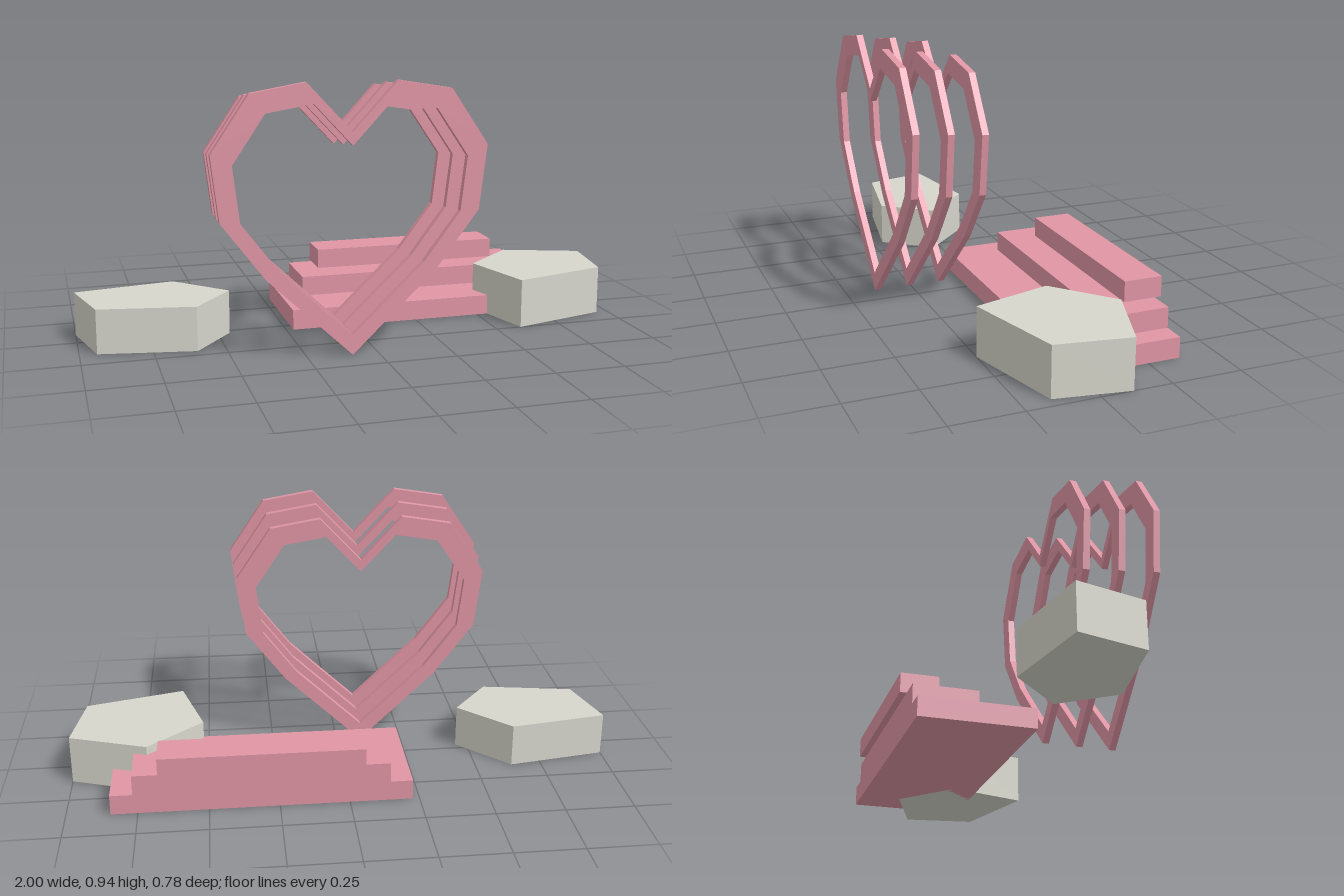
import * as THREE from 'three';

const pink = new THREE.MeshStandardMaterial({ color: 0xdf95a4, flatShading: true });
const stone = new THREE.MeshStandardMaterial({ color: 0xd6d6cc, flatShading: true });

// Right half of the heart outline, from the bottom tip up to the notch
const HALF_HEART = [[0, 0], [0.3, 0.285], [0.453, 0.487], [0.481, 0.714], [0.349, 0.91], [0.158, 0.942], [0, 0.773]];

function heartPoints(scale, lift = 0) {
  const mirrored = HALF_HEART.slice(1, -1).reverse().map(([x, y]) => [-x, y]);
  return [...HALF_HEART, ...mirrored].map(([x, y]) => new THREE.Vector2(x * scale, y * scale + lift));
}

function addMesh(group, name, geometry, material) {
  const mesh = new THREE.Mesh(geometry, material);
  mesh.name = name;
  group.add(mesh);
  return mesh;
}

// Flat heart-shaped frame standing on its tip
function heartGeometry(scale) {
  const shape = new THREE.Shape(heartPoints(1));
  shape.holes.push(new THREE.Path(heartPoints(0.85, 0.07)));
  return new THREE.ExtrudeGeometry(shape, { depth: 0.024, bevelEnabled: false }).scale(scale, scale, 1);
}

// Upright prism over a ground outline of [x, z] corners
function prismGeometry(corners, height) {
  const shape = new THREE.Shape(corners.map(([x, z]) => new THREE.Vector2(x, -z)));
  return new THREE.ExtrudeGeometry(shape, { depth: height, bevelEnabled: false }).rotateX(-Math.PI / 2);
}

export function createModel() {
  const model = new THREE.Group();
  model.name = 'heartArchWithSteps';

  // Three heart frames, shrinking towards the back
  const hearts = new THREE.Group();
  hearts.name = 'heartFrames';
  [[1, 0.366], [0.981, 0.241], [0.961, 0.116]].forEach(([scale, z], i) => {
    addMesh(hearts, `heartFrame${i + 1}`, heartGeometry(scale), pink).position.set(-0.092, 0, z);
  });
  model.add(hearts);

  // Stacked steps: x range, z range
  const steps = new THREE.Group();
  steps.name = 'steps';
  const rise = 0.0735;
  [[-0.225, 0.845, -0.365, 0.055], [-0.145, 0.765, -0.365, -0.13], [-0.053, 0.673, -0.389, -0.249]]
    .forEach(([x0, x1, z0, z1], i) => {
      const step = addMesh(steps, `step${i + 1}`, new THREE.BoxGeometry(x1 - x0, rise, z1 - z0), pink);
      step.position.set((x0 + x1) / 2, rise * (i + 0.5), (z0 + z1) / 2);
    });
  model.add(steps);

  // Five-sided stones on either side
  addMesh(model, 'rightStone', prismGeometry(
    [[-1, -0.095], [-0.637, -0.154], [-0.457, 0.028], [-0.6, 0.206], [-0.94, 0.147]], 0.16), stone);
  addMesh(model, 'leftStone', prismGeometry(
    [[0.515, -0.035], [0.717, -0.213], [1, -0.113], [0.957, 0.15], [0.595, 0.25]], 0.179), stone);

  return model;
}
